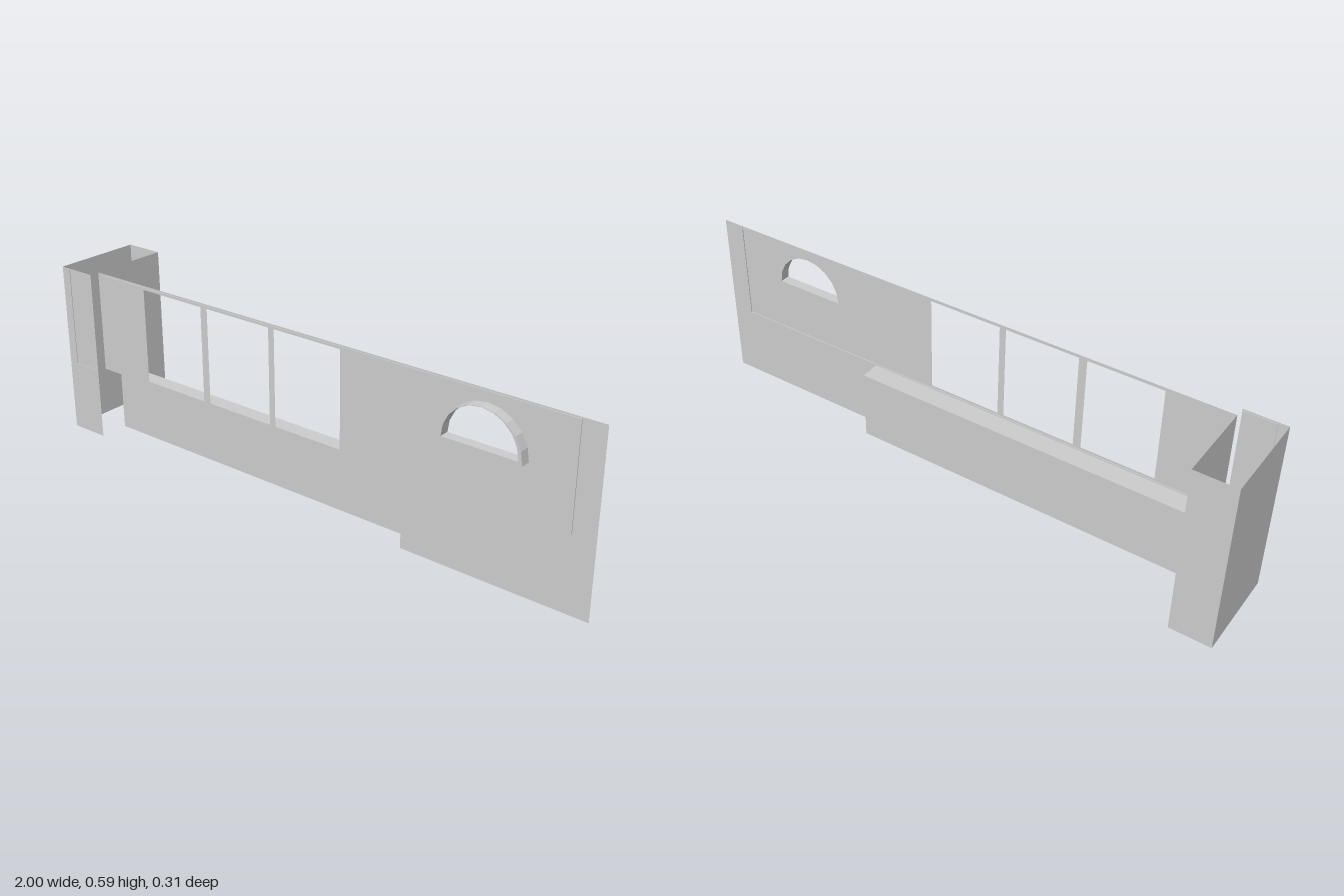
import * as THREE from 'three';

const material = new THREE.MeshStandardMaterial({ color: 0xcccccc, flatShading: true, side: THREE.DoubleSide });

function add(parent, name, geometry) {
  const mesh = new THREE.Mesh(geometry, material);
  mesh.name = name;
  parent.add(mesh);
  return mesh;
}

const polygon = (pts) => pts.map(([x, y]) => new THREE.Vector2(x, y));
const rect = (x0, x1, y0, y1) => polygon([[x0, y0], [x1, y0], [x1, y1], [x0, y1]]);

// Half-round outline standing on a flat bottom edge
function arch(cx, y, r, steps = 10) {
  return Array.from({ length: steps + 1 }, (_, i) => {
    const a = (Math.PI * i) / steps;
    return new THREE.Vector2(cx + r * Math.cos(a), y + r * Math.sin(a));
  });
}

function shapeWith(outline, holes = []) {
  const shape = new THREE.Shape(outline);
  holes.forEach((h) => shape.holes.push(new THREE.Path(h)));
  return shape;
}

// Flat sheet with openings, facing +z
function sheet(parent, name, z, outline, holes) {
  add(parent, name, new THREE.ShapeGeometry(shapeWith(outline, holes))).position.z = z;
}

// Upright sheet facing sideways at a given x
function sideSheet(parent, name, x, z0, z1, y0, y1) {
  const mesh = add(parent, name, new THREE.PlaneGeometry(z1 - z0, y1 - y0));
  mesh.rotation.y = Math.PI / 2;
  mesh.position.set(x, (y0 + y1) / 2, (z0 + z1) / 2);
}

// Level sheet at a given height
function levelSheet(parent, name, y, x0, x1, z0, z1) {
  const mesh = add(parent, name, new THREE.PlaneGeometry(x1 - x0, z1 - z0));
  mesh.rotation.x = -Math.PI / 2;
  mesh.position.set((x0 + x1) / 2, y, (z0 + z1) / 2);
}

// Narrow edges that join an offset panel to the wall around it
function panelEdges(parent, name, x0, x1, y0, y1, z0, z1) {
  for (const x of [x0, x1]) sideSheet(parent, name, x, z0, z1, y0, y1);
  for (const y of [y0, y1]) levelSheet(parent, name, y, x0, x1, z0, z1);
}

export function createModel() {
  const group = new THREE.Group();
  group.name = 'shopFront';

  const top = 0.588, sill = 0.242;
  const xEnd = -0.863, xStep = 0.38;
  const zWall = 0.119, zPanel = 0.122, zLow = 0.051, zBack = -0.156, zFront = 0.153;
  const p0 = 0.246, p1 = 0.583;

  // Main wall with the opening for the raised panel
  const wall = new THREE.Group();
  wall.name = 'mainWall';
  group.add(wall);
  sheet(wall, 'wallSheet', zWall,
    polygon([[xEnd, sill], [xStep, sill], [xStep, 0], [1, 0], [1, top], [xEnd, top]]),
    [rect(-0.83, 0.927, p0, p1)]);

  // Raised panel with three windows and a half-round opening
  const windows = [[-0.647, -0.396], [-0.369, -0.118], [-0.096, 0.155]];
  const archX = 0.651;
  sheet(wall, 'windowPanel', zPanel, rect(-0.83, 0.927, p0, p1),
    [...windows.map(([a, b]) => rect(a, b, 0.254, 0.575)), arch(archX, 0.427, 0.122)]);
  panelEdges(wall, 'panelEdge', -0.83, 0.927, p0, p1, zWall, zPanel);

  // Projecting frame around the half-round window
  const frame = new THREE.ExtrudeGeometry(
    shapeWith(arch(archX, 0.416, 0.135), [arch(archX, 0.427, 0.122)]),
    { depth: 0.156 - zPanel, bevelEnabled: false });
  add(wall, 'archFrame', frame).position.z = zPanel;

  // Recessed lower wall, its ledge and its end
  const lower = new THREE.Group();
  lower.name = 'lowerWall';
  group.add(lower);
  sheet(lower, 'lowerSheet', zLow, rect(xEnd, xStep, 0, sill));
  levelSheet(lower, 'ledge', sill, xEnd, xStep, zLow, zWall);
  sideSheet(lower, 'lowerEnd', xStep, zLow, zWall, 0, sill);

  // Open pillar at the right end
  const pillar = new THREE.Group();
  pillar.name = 'endPillar';
  group.add(pillar);
  sideSheet(pillar, 'outerSide', -1, zBack, zFront, 0, top);
  sheet(pillar, 'pillarBack', zBack, rect(-1, xEnd, 0, top));
  sideSheet(pillar, 'innerSideLower', xEnd, zBack, zLow, 0, sill);
  sideSheet(pillar, 'innerSideUpper', xEnd, zBack, zWall, sill, top);

  // Pillar front with its shallow inset
  sheet(pillar, 'pillarFront', zFront, rect(-1, xEnd, 0, top), [rect(-0.967, -0.866, p0, p1)]);
  sheet(pillar, 'pillarInset', 0.151, rect(-0.967, -0.866, p0, p1));
  panelEdges(pillar, 'insetEdge', -0.967, -0.866, p0, p1, 0.151, zFront);

  return group;
}
